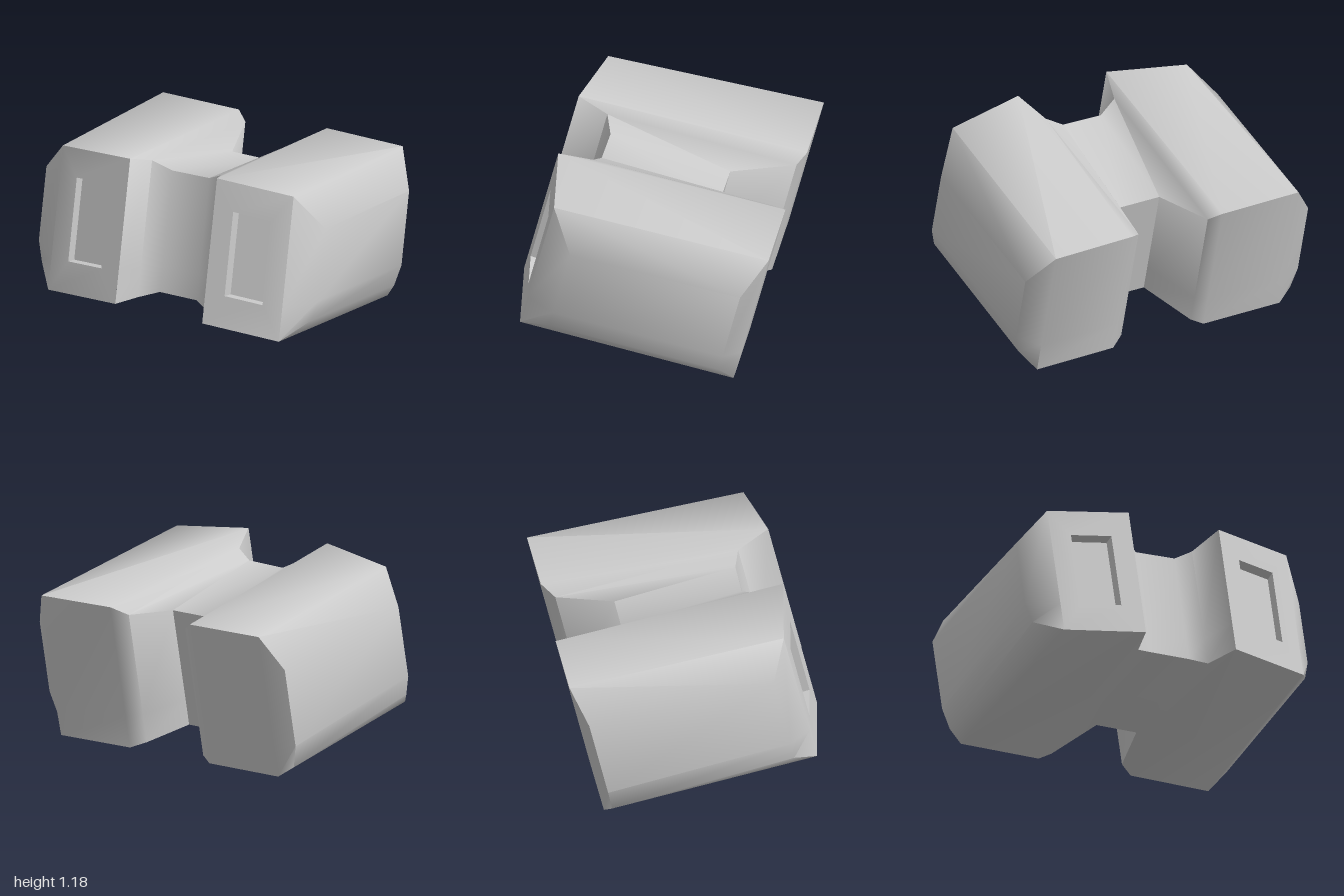
import * as THREE from 'three';
import { toCreasedNormals } from 'three/addons/utils/BufferGeometryUtils.js';

// Columns across the body: x, z at top, top y, bottom y
const FRONT = [
  [-1.0, 0.38, 0.9, 0.32], [-0.84, 0.48, 1.115, 0.23], [-0.33, 0.595, 1.175, 0.285],
  [-0.27, 0.41, 1.1, 0.26], [-0.15, 0.375, 1.04, 0.295], [0.11, 0.395, 1.05, 0.3],
  [0.21, 0.435, 1.105, 0.27], [0.28, 0.64, 1.185, 0.295], [0.78, 0.6, 1.145, 0.255],
  [0.94, 0.48, 0.91, 0.34],
];
const BACK = [
  [-0.93, -0.76, 0.71, 0.07], [-0.8, -0.855, 0.92, 0.005], [-0.27, -0.82, 0.925, 0.015],
  [-0.2, -0.765, 0.88, 0.05], [-0.1, -0.37, 0.865, 0.115], [0.17, -0.35, 0.87, 0.12],
  [0.26, -0.7, 0.895, 0.06], [0.35, -0.77, 0.945, 0.025], [0.88, -0.735, 0.945, 0.03],
  [1.0, -0.575, 0.735, 0.15],
];
const LEAN = 0.236; // forward lean of the front and back walls
const LAST = FRONT.length - 1;
const POCKET_PANELS = [1, 7];

// Bottom, low and top points of one column; outer columns tuck in at the bottom
function column([x, z, top, bottom], i) {
  const tuck = i === 0 ? 0.035 : i === LAST ? -0.035 : 0;
  return [0, 0.22, 1].map((t) => {
    const y = bottom + (top - bottom) * t;
    return new THREE.Vector3(x + (t === 0 ? tuck : 0), y, z + (top - y) * LEAN);
  });
}

// Collects quads with corners counter-clockwise from outside
function quadBuilder() {
  const points = [];
  return {
    quad: (a, b, c, d) => points.push(a, b, c, a, c, d),
    geometry: () => toCreasedNormals(new THREE.BufferGeometry().setFromPoints(points), 1.0),
  };
}

function addMesh(group, name, builder) {
  const mesh = new THREE.Mesh(builder.geometry(), new THREE.MeshStandardMaterial({ color: 0xcccccc }));
  mesh.name = name;
  group.add(mesh);
}

export function createModel() {
  const group = new THREE.Group();
  group.name = 'twinPodBlock';
  const front = FRONT.map(column);
  const back = BACK.map(column);
  const body = quadBuilder();

  for (let i = 0; i < LAST; i++) {
    const [f, g, b, c] = [front[i], front[i + 1], back[i], back[i + 1]];
    // Top and underside strips
    body.quad(f[2], g[2], c[2], b[2]);
    body.quad(b[0], c[0], g[0], f[0]);
    // Front and back walls
    for (let r = 0; r < 2; r++) {
      body.quad(c[r], b[r], b[r + 1], c[r + 1]);
      if (!POCKET_PANELS.includes(i)) body.quad(f[r], g[r], g[r + 1], f[r + 1]);
    }
  }

  // Outer side walls
  for (let r = 0; r < 2; r++) {
    body.quad(back[0][r], front[0][r], front[0][r + 1], back[0][r + 1]);
    body.quad(front[LAST][r], back[LAST][r], back[LAST][r + 1], front[LAST][r + 1]);
  }

  // Front panels with a rectangular pocket
  const inward = new THREE.Vector3(0.007, -0.016, -0.07);
  for (const i of POCKET_PANELS) {
    const [f, g] = [front[i], front[i + 1]];
    const at = (u, v) => f[0].clone().lerp(g[0], u).lerp(f[2].clone().lerp(g[2], u), v);
    const outer = [at(0, 0), at(1, 0), at(1, 1), at(0, 1)];
    const rim = [at(0.25, 0.22), at(0.745, 0.22), at(0.745, 0.8), at(0.25, 0.8)];
    const floor = rim.map((p) => p.clone().add(inward));
    const pocket = quadBuilder();
    for (let k = 0; k < 4; k++) {
      const n = (k + 1) % 4;
      body.quad(outer[k], outer[n], rim[n], rim[k]);
      pocket.quad(rim[k], rim[n], floor[n], floor[k]);
    }
    pocket.quad(...floor);
    addMesh(group, i === 1 ? 'rightPocket' : 'leftPocket', pocket);
  }

  addMesh(group, 'body', body);
  return group;
}
